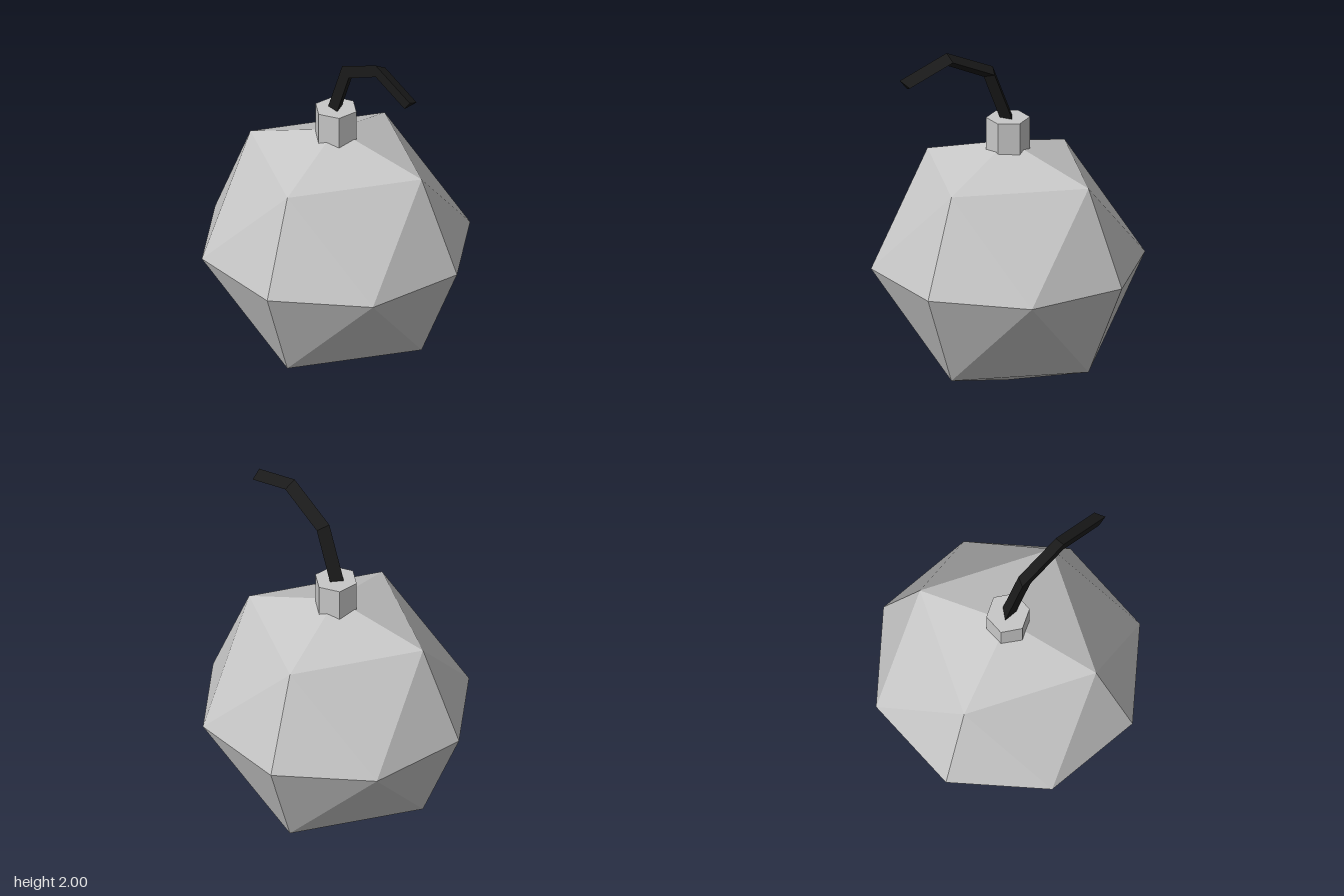
import * as THREE from 'three';

// Faceted geometry from shared points and triangle indices
function faceted(points, index) {
  const g = new THREE.BufferGeometry();
  g.setAttribute('position', new THREE.Float32BufferAttribute(points.flat(), 3));
  g.setIndex(index);
  const flat = g.toNonIndexed();
  flat.computeVertexNormals();
  return flat;
}

// Low-poly ball: two poles, two rings of four, an equator of eight
function bodyGeometry() {
  const mid = 0.707, ringY = 0.541, ringR = 0.541, equatorR = 0.765;
  const at = (r, y, k) => {
    const a = (67.5 + 45 * k) * Math.PI / 180;
    return [r * Math.cos(a), y, r * Math.sin(a)];
  };
  const points = [[0, 2 * mid, 0], [0, 0, 0]];
  for (let k = 0; k < 8; k++) points.push(at(equatorR, mid, k));
  for (const s of [1, -1])
    for (let j = 0; j < 4; j++) points.push(at(ringR, mid + s * ringY, 2 * j));
  const index = [];
  const equator = k => 2 + k % 8;
  for (const half of [0, 1]) {
    const ring = j => 10 + half * 4 + j % 4;
    // the lower half mirrors the upper, so its corners run the other way
    const tri = (a, b, c) => index.push(...(half ? [a, c, b] : [a, b, c]));
    for (let j = 0; j < 4; j++) {
      tri(half, ring(j + 1), ring(j));
      tri(ring(j), equator(2 * j + 1), equator(2 * j));
      tri(ring(j), ring(j + 1), equator(2 * j + 1));
      tri(ring(j + 1), equator(2 * j + 2), equator(2 * j + 1));
    }
  }
  return faceted(points, index);
}

// Bent three-sided cord from cross-sections: [upper z, upper y, lower z, lower y]
function fuseGeometry() {
  const sections = [
    [-0.056, 1.51, 0.024, 1.51],
    [0.085, 1.86, 0.143, 1.81],
    [0.385, 2.0, 0.385, 1.927],
    [0.69, 1.9, 0.643, 1.842],
  ];
  const points = [], index = [];
  for (const [uz, uy, lz, ly] of sections)
    points.push([-0.023, uy, uz], [0.043, (uy + ly) / 2, (uz + lz) / 2], [-0.023, ly, lz]);
  for (let i = 0; i < sections.length - 1; i++)
    for (let j = 0; j < 3; j++) {
      const p = i * 3 + j, q = i * 3 + (j + 1) % 3;
      index.push(p, p + 3, q + 3, p, q + 3, q);
    }
  const e = points.length - 3;
  index.push(0, 1, 2, e, e + 2, e + 1);
  return faceted(points, index);
}

export function createModel() {
  const group = new THREE.Group();
  group.name = 'fusedBall';
  const shell = new THREE.MeshStandardMaterial({ color: 0xc8c8c8 });
  shell.name = 'light grey';
  const cord = new THREE.MeshStandardMaterial({ color: 0x1a1a1a });
  cord.name = 'black';

  const add = (name, geometry, material) => {
    const mesh = new THREE.Mesh(geometry, material);
    mesh.name = name;
    group.add(mesh);
  };

  add('body', bodyGeometry(), shell);

  // Hexagonal neck with corners on the x axis
  const neck = new THREE.CylinderGeometry(0.121, 0.121, 0.22, 6).rotateY(Math.PI / 2);
  neck.translate(0, 1.44, 0);
  const neckFlat = neck.toNonIndexed();
  neckFlat.computeVertexNormals();
  add('neck', neckFlat, shell);

  add('fuse', fuseGeometry(), cord);
  return group;
}
